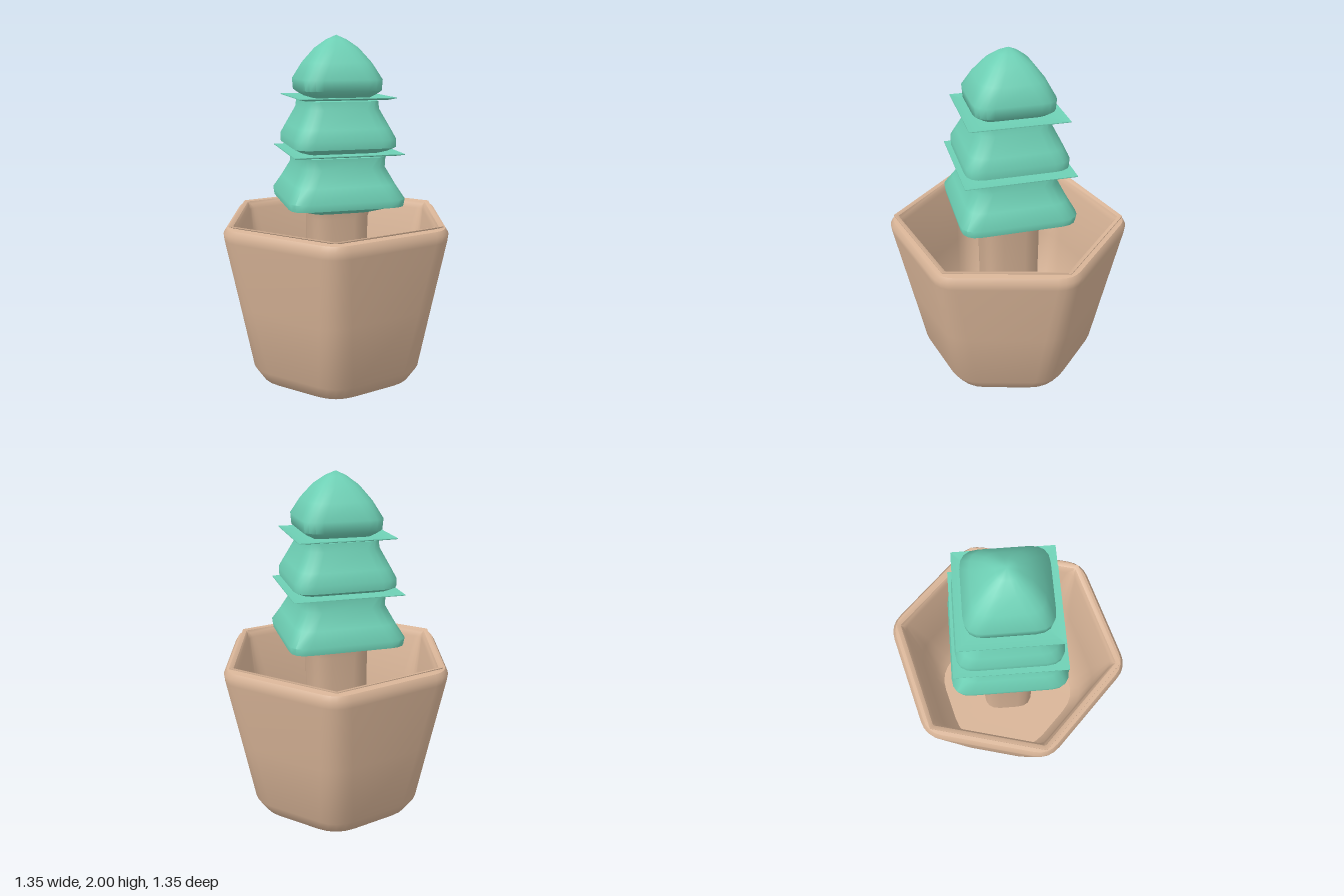
import * as THREE from 'three';
import { toCreasedNormals } from 'three/addons/utils/BufferGeometryUtils.js';

const CORNER_STEPS = 4;

// Regular polygon ring whose corners are rounded by a curve starting `cut` away from each corner
function polygonRing(sides, startAngle, radius, cut, y) {
  const corner = (k) => {
    const a = startAngle + (k / sides) * Math.PI * 2;
    return new THREE.Vector3(Math.cos(a) * radius, y, Math.sin(a) * radius);
  };
  const edge = 2 * radius * Math.sin(Math.PI / sides);
  const t = Math.min(cut / edge, 0.45);
  const points = [];
  for (let k = 0; k < sides; k++) {
    const c = corner(k);
    const curve = new THREE.QuadraticBezierCurve3(
      c.clone().lerp(corner(k - 1), t), c, c.clone().lerp(corner(k + 1), t));
    points.push(...curve.getPoints(CORNER_STEPS));
  }
  return points;
}

// Skin through polygon rings; each profile row is [y, radius, corner cut]
function loft(profile, sides, startAngle, crease) {
  const positions = [];
  const index = [];
  const n = sides * (CORNER_STEPS + 1);
  for (const [y, radius, cut] of profile) {
    for (const p of polygonRing(sides, startAngle, radius, cut, y)) positions.push(p.x, p.y, p.z);
  }
  for (let j = 0; j < profile.length - 1; j++) {
    for (let i = 0; i < n; i++) {
      const a = j * n + i;
      const b = j * n + ((i + 1) % n);
      index.push(b, a, a + n, b, a + n, b + n);
    }
  }
  const geometry = new THREE.BufferGeometry();
  geometry.setAttribute('position', new THREE.Float32BufferAttribute(positions, 3));
  geometry.setIndex(index);
  return toCreasedNormals(geometry, crease);
}

// Square rows are given by half width
const squareLoft = (rows) =>
  loft(rows.map(([y, half, cut]) => [y, half * Math.SQRT2, cut]), 4, Math.PI / 4, 0.9);

export function createModel() {
  const clay = new THREE.MeshStandardMaterial({ color: 0xd8b497 });
  clay.name = 'clay';
  const leaf = new THREE.MeshStandardMaterial({ color: 0x6ed0b5 });
  leaf.name = 'leaf green';

  const model = new THREE.Group();
  model.name = 'pottedTree';
  const add = (name, geometry, material) => {
    const mesh = new THREE.Mesh(geometry, material);
    mesh.name = name;
    model.add(mesh);
  };

  // Hexagonal pot: underside, outer wall, thin lip, inner wall, floor
  add('pot', loft([
    [0, 0.001, 0], [0, 0.42, 0.12], [0.035, 0.5, 0.12], [0.12, 0.555, 0.11],
    [0.5, 0.63, 0.1], [0.9, 0.71, 0.09], [0.94, 0.715, 0.09], [0.968, 0.695, 0.08],
    [0.973, 0.65, 0.03], [0.982, 0.672, 0.004], [0.987, 0.672, 0.004],
    [0.982, 0.645, 0.004], [0.965, 0.635, 0.01], [0.94, 0.625, 0.04],
    [0.55, 0.58, 0.1], [0.2, 0.535, 0.13], [0.13, 0.48, 0.13], [0.12, 0.001, 0],
  ], 6, Math.PI / 4, 0.85), clay);

  // Trunk
  add('trunk', squareLoft([
    [0.1, 0.16, 0.1], [0.98, 0.165, 0.1], [1.06, 0.185, 0.1],
  ]), clay);

  // Lower tier of branches
  add('lowerTier', squareLoft([
    [1.02, 0.001, 0], [1.02, 0.18, 0.08], [1.06, 0.28, 0.1], [1.07, 0.325, 0.1],
    [1.11, 0.33, 0.1], [1.19, 0.285, 0.1], [1.28, 0.24, 0.1], [1.34, 0.235, 0.06],
    [1.35, 0.2, 0.04],
  ]), leaf);

  // Middle tier
  add('middleTier', squareLoft([
    [1.36, 0.2, 0.04], [1.375, 0.25, 0.08], [1.395, 0.287, 0.1], [1.44, 0.288, 0.1],
    [1.5, 0.26, 0.1], [1.6, 0.21, 0.09], [1.645, 0.2, 0.06], [1.653, 0.17, 0.04],
  ]), leaf);

  // Top tier
  add('topTier', squareLoft([
    [1.662, 0.16, 0.04], [1.68, 0.195, 0.08], [1.7, 0.222, 0.1], [1.76, 0.226, 0.1],
    [1.85, 0.178, 0.1], [1.93, 0.115, 0.08], [1.975, 0.055, 0.045], [2, 0.001, 0],
  ]), leaf);

  // Thin square skirts between the tiers, turned up slightly at the edge
  for (const [name, y, half] of [['lowerSkirt', 1.362, 0.308], ['upperSkirt', 1.665, 0.27]]) {
    add(name, squareLoft([
      [y - 0.014, half - 0.12, 0.01], [y - 0.012, half - 0.04, 0.004], [y - 0.002, half, 0.004],
      [y + 0.002, half, 0.004], [y - 0.004, half - 0.04, 0.004], [y - 0.002, half - 0.12, 0.01],
    ]), leaf);
  }

  return model;
}
